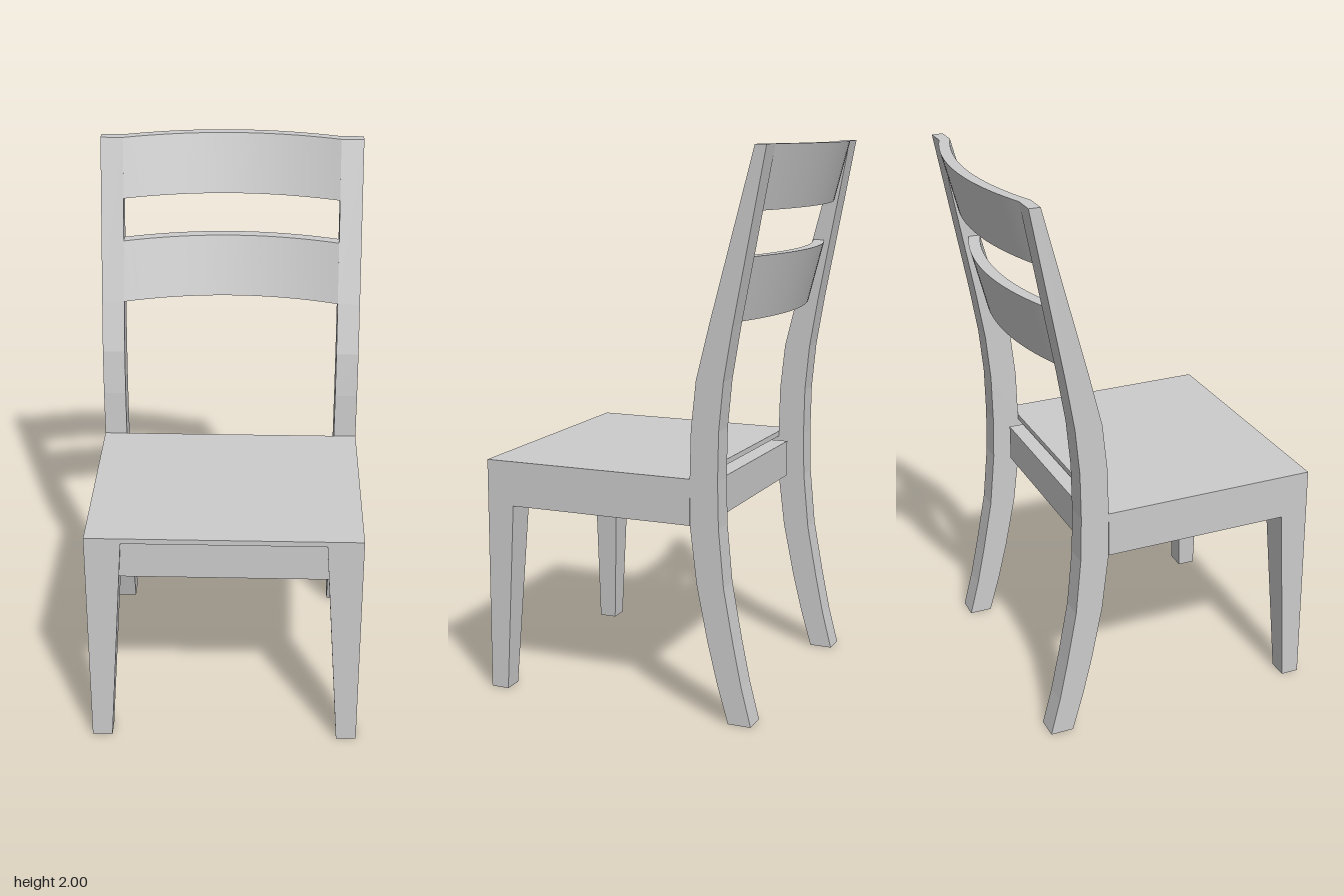
import * as THREE from 'three';
import { toCreasedNormals } from 'three/addons/utils/BufferGeometryUtils.js';

const HALF_W = 0.495;   // half width of the chair
const POST_W = 0.085;   // thickness of the back posts and side aprons
const FRONT = 0.53;     // z of the seat's front edge
const BACK = -0.267;    // z of the seat's back edge
const INNER = HALF_W - POST_W;

export function createModel() {
  const model = new THREE.Group();
  const chair = new THREE.Group();
  chair.name = 'chair';
  chair.rotation.y = -0.495;
  model.add(chair);
  const material = new THREE.MeshStandardMaterial({ color: 0xcccccc });

  const add = (name, geometry) => {
    const mesh = new THREE.Mesh(geometry, material);
    mesh.name = name;
    chair.add(mesh);
  };

  // Box given by its limits on each axis
  const box = (name, x0, x1, y0, y1, z0, z1) => {
    const g = new THREE.BoxGeometry(x1 - x0, y1 - y0, z1 - z0);
    g.translate((x0 + x1) / 2, (y0 + y1) / 2, (z0 + z1) / 2);
    add(name, g);
  };

  // Seat panel with front and back aprons below
  box('seat', -HALF_W, HALF_W, 0.845, 0.865, BACK, FRONT);
  box('frontApron', -0.38, 0.38, 0.7, 0.845, 0.45, 0.515);
  box('backApron', -0.37, 0.37, 0.7, 0.837, -0.317, -0.25);

  // Back post side profile: [height, front z, back z]
  const profile = [
    [0, -0.413, -0.498], [0.14, -0.372, -0.462], [0.29, -0.335, -0.431],
    [0.49, -0.294, -0.394], [0.7, -0.268, -0.374], [0.865, -0.267, -0.37],
    [1.04, -0.271, -0.373], [1.21, -0.289, -0.389], [1.4, -0.336, -0.421],
    [2, -0.494, -0.535],
  ];
  const outline = [
    ...profile.map(([y, f]) => new THREE.Vector2(-f, y)),
    ...profile.map(([y, , b]) => new THREE.Vector2(-b, y)).reverse(),
  ];

  // Front leg: outer faces are upright, inner faces taper downward
  const frontLeg = (side) => {
    const g = new THREE.BoxGeometry(1, 1, 1);
    const p = g.attributes.position;
    for (let i = 0; i < p.count; i++) {
      const top = p.getY(i) > 0;
      const inward = p.getX(i) * side < 0;
      const rear = p.getZ(i) < 0;
      p.setXYZ(i,
        side * (HALF_W - (inward ? (top ? 0.13 : 0.074) : 0)),
        top ? 0.845 : 0,
        FRONT - (rear ? (top ? 0.11 : 0.067) : 0));
    }
    g.computeVertexNormals();
    return g;
  };

  for (const side of [1, -1]) {
    const label = side > 0 ? 'left' : 'right';
    const x0 = side > 0 ? INNER : -HALF_W;
    const post = new THREE.ExtrudeGeometry(new THREE.Shape(outline), { depth: POST_W, bevelEnabled: false });
    post.rotateY(Math.PI / 2).translate(x0, 0, 0);
    add(label + 'BackPost', post);
    add(label + 'FrontLeg', frontLeg(side));
    box(label + 'SideApron', x0, x0 + POST_W, 0.7, 0.845, BACK, 0.47);
  }

  // Back rails: bowed bands that lean with the posts
  const rail = (name, y0, y1, thickness) => {
    const n = 24;
    const front = [], back = [];
    for (let i = 0; i <= n; i++) {
      const t = (2 * i) / n - 1;
      const bow = 0.494 + 0.075 * (1 - t * t);
      front.push(new THREE.Vector2(t * INNER, bow));
      back.push(new THREE.Vector2(t * INNER, bow + thickness));
    }
    const shape = new THREE.Shape([...front, ...back.reverse()]);
    const g = new THREE.ExtrudeGeometry(shape, { depth: y1 - y0, bevelEnabled: false });
    g.rotateX(-Math.PI / 2).translate(0, y0, 0);
    const p = g.attributes.position;
    for (let i = 0; i < p.count; i++) p.setZ(i, p.getZ(i) + 0.263 * (2 - p.getY(i)));
    add(name, toCreasedNormals(g, 0.5));
  };
  rail('topRail', 1.78, 2, 0.041);
  rail('lowerRail', 1.4, 1.625, 0.045);

  return model;
}
